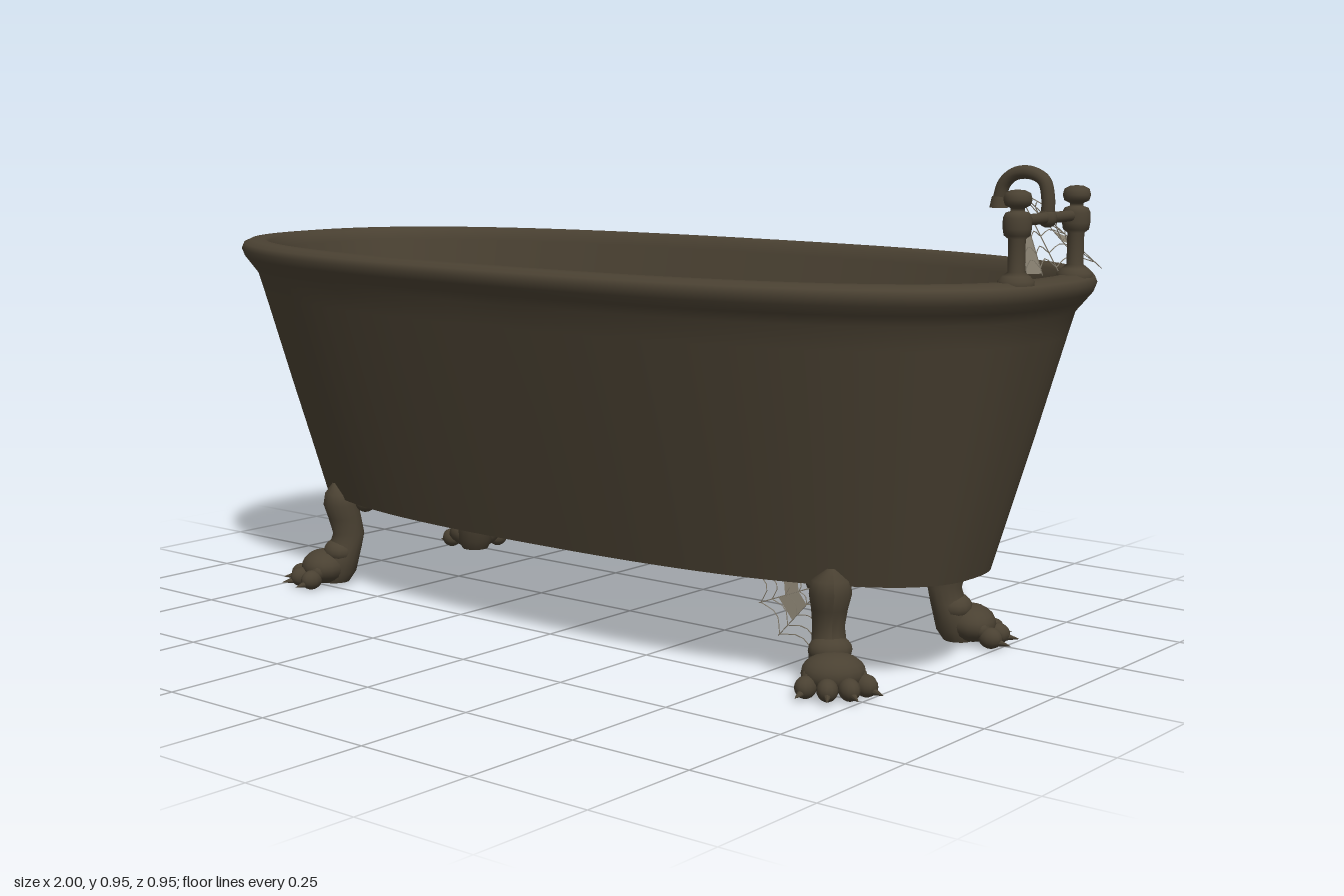
import * as THREE from 'three';

const V = (x, y, z) => new THREE.Vector3(x, y, z);
const enamel = new THREE.MeshStandardMaterial({ color: 0x4a4132 });
enamel.name = 'agedBronze';
const silk = new THREE.MeshStandardMaterial({ color: 0x8c8474, side: THREE.DoubleSide });
silk.name = 'dustyWeb';

function add(parent, name, geo, pos, mat = enamel) {
  const m = new THREE.Mesh(geo, mat);
  m.name = name;
  if (pos) m.position.copy(pos);
  parent.add(m);
  return m;
}
const tube = (pts, r, seg = 24, sides = 10) =>
  new THREE.TubeGeometry(new THREE.CatmullRomCurve3(pts), seg, r, sides);
const lathe = (pts, seg = 24) =>
  new THREE.LatheGeometry(pts.map(p => new THREE.Vector2(p[0], p[1])), seg);

// Rounded oval rings [y, half length, half width], skinned from base over the rim to the floor
function tubGeometry() {
  const rings = [
    [0.195, 0, 0], [0.195, 0.825, 0.3], [0.195, 0.825, 0.3], [0.44, 0.895, 0.373],
    [0.64, 0.95, 0.432], [0.685, 0.963, 0.445], [0.705, 0.98, 0.458], [0.722, 0.994, 0.469],
    [0.738, 1, 0.475], [0.75, 0.995, 0.47], [0.757, 0.98, 0.457], [0.757, 0.95, 0.427],
    [0.752, 0.94, 0.417], [0.73, 0.93, 0.408], [0.5, 0.875, 0.34], [0.36, 0.835, 0.295],
    [0.29, 0.795, 0.26], [0.25, 0.74, 0.22], [0.232, 0.65, 0.17], [0.225, 0.4, 0.1], [0.225, 0, 0],
  ];
  const N = 120, e = 2 / 2.5, pos = [], idx = [];
  const pw = v => Math.sign(v) * Math.abs(v) ** e;
  rings.forEach(([y, a, b], i) => {
    for (let j = 0; j < N; j++) {
      const t = (j / N) * Math.PI * 2;
      pos.push(a * pw(Math.cos(t)), y, b * pw(Math.sin(t)));
      if (i === rings.length - 1) continue;
      const k = (j + 1) % N, p = i * N, q = p + N;
      idx.push(p + j, q + j, q + k, p + j, q + k, p + k);
    }
  });
  const g = new THREE.BufferGeometry();
  g.setAttribute('position', new THREE.Float32BufferAttribute(pos, 3));
  g.setIndex(idx);
  g.computeVertexNormals();
  return g;
}

// Clawed leg pointing along local +z
function makeLeg() {
  const leg = new THREE.Group();
  // Shin: round sections [y, forward offset, half width, half depth]
  const secs = [
    [0.228, 0.035, 0.008, 0.006], [0.205, 0.026, 0.036, 0.032], [0.18, 0.024, 0.04, 0.038],
    [0.15, 0.016, 0.034, 0.036], [0.115, 0.008, 0.03, 0.034], [0.085, 0.016, 0.033, 0.036],
    [0.06, 0.028, 0.04, 0.042], [0.03, 0.035, 0.04, 0.042], [0.008, 0.038, 0.03, 0.03],
  ];
  const g = new THREE.CylinderGeometry(1, 1, 1, 16, secs.length - 1, true);
  const p = g.attributes.position;
  for (let i = 0; i < p.count; i++) {
    const [y, o, w, d] = secs[Math.floor(i / 17)];
    p.setXYZ(i, p.getX(i) * w, y, p.getZ(i) * d + o);
  }
  g.computeVertexNormals();
  add(leg, 'shin', g);
  add(leg, 'legScroll', new THREE.SphereGeometry(0.026, 14, 10), V(0, 0.188, -0.03)).scale.x = 1.4;
  add(leg, 'ankleKnob', new THREE.SphereGeometry(0.036, 14, 10), V(0, 0.075, 0.028)).scale.set(1.15, 0.8, 1);
  add(leg, 'paw', new THREE.SphereGeometry(0.05, 16, 12), V(0, 0.042, 0.062)).scale.set(1.2, 0.75, 1);
  // Toes and claws in a fan
  for (const [x, z, a] of [[-0.055, 0.088, -0.65], [-0.02, 0.112, -0.2], [0.02, 0.112, 0.2], [0.055, 0.088, 0.65]]) {
    const toe = new THREE.Group();
    toe.name = 'toe';
    toe.position.set(x, 0.023, z);
    toe.rotation.y = a;
    add(toe, 'toePad', new THREE.SphereGeometry(0.021, 12, 10)).scale.set(0.95, 1, 1.15);
    add(toe, 'toeKnuckle', new THREE.SphereGeometry(0.018, 12, 8), V(0, 0.014, -0.02));
    add(toe, 'claw', new THREE.ConeGeometry(0.01, 0.034, 8), V(0, -0.008, 0.026)).rotation.x = Math.PI / 2 + 0.15;
    leg.add(toe);
  }
  return leg;
}

// Cobweb: spokes from a hub, joined by sagging cross strands
function makeWeb(name, hub, ends, steps, patches) {
  const web = new THREE.Group();
  web.name = name;
  const at = (i, t) => hub.clone().lerp(ends[i], t);
  const strand = (a, b, sag) => {
    const mid = a.clone().lerp(b, 0.5).lerp(hub, sag);
    add(web, 'webStrand', tube([a, mid, b], 0.0011, 5, 3), null, silk);
  };
  ends.forEach((end, i) => {
    strand(hub, end, 0);
    if (i) for (const t of steps) strand(at(i - 1, t), at(i, t), 0.12);
  });
  // Matted silk between neighbouring spokes
  for (const [i, t0, t1] of patches) {
    const g = new THREE.BufferGeometry().setFromPoints([at(i, t0), at(i + 1, t0), at(i + 1, t1), at(i, t1)]);
    g.setIndex([0, 1, 2, 0, 2, 3]);
    g.computeVertexNormals();
    add(web, 'webPatch', g, null, silk);
  }
  return web;
}

export function createModel() {
  const model = new THREE.Group();
  model.name = 'clawfootBathtub';
  add(model, 'tub', tubGeometry());

  // Four legs turned out to the corners
  for (const sx of [1, -1]) for (const sz of [1, -1]) {
    const leg = makeLeg();
    leg.name = (sz > 0 ? 'front' : 'back') + (sx > 0 ? 'Left' : 'Right') + 'Leg';
    leg.position.set(sx * 0.635, 0, sz * 0.195);
    leg.rotation.y = Math.atan2(sx, sz);
    model.add(leg);
  }

  // Taps, crossbar and gooseneck spout
  const taps = new THREE.Group();
  taps.name = 'taps';
  model.add(taps);
  const post = [[0.032, 0.752], [0.032, 0.76], [0.024, 0.768], [0.015, 0.775], [0.015, 0.832],
    [0.023, 0.838], [0.025, 0.85], [0.025, 0.868], [0.021, 0.877], [0.012, 0.88], [0.012, 0.885],
    [0.022, 0.89], [0.025, 0.9], [0.022, 0.911], [0.012, 0.916], [0, 0.917]];
  for (const s of [1, -1]) add(taps, 'tapPost', lathe(post), V(0.957, 0, s * 0.105));
  add(taps, 'crossbar', new THREE.CylinderGeometry(0.01, 0.01, 0.2, 14), V(0.957, 0.863, 0)).rotation.x = Math.PI / 2;
  add(taps, 'spoutJoint', new THREE.SphereGeometry(0.017, 14, 10), V(0.957, 0.863, 0));
  add(taps, 'spout', tube([V(0.957, 0.86, 0), V(0.957, 0.9, 0), V(0.948, 0.929, 0), V(0.92, 0.942, 0),
    V(0.888, 0.938, 0), V(0.868, 0.92, 0), V(0.86, 0.895, 0)], 0.012, 32, 12));
  add(taps, 'spoutTip', new THREE.CylinderGeometry(0.013, 0.017, 0.02, 14), V(0.859, 0.888, 0));

  // Drain, overflow, plug and chain
  add(model, 'drainRing', new THREE.TorusGeometry(0.032, 0.005, 8, 28), V(0.515, 0.23, 0)).rotation.x = Math.PI / 2;
  add(model, 'drainCup', new THREE.CylinderGeometry(0.014, 0.014, 0.012, 18), V(0.515, 0.229, 0));
  add(model, 'overflow', new THREE.CylinderGeometry(0.032, 0.036, 0.014, 24), V(0.893, 0.61, 0)).rotation.z = Math.PI / 2 - 0.2;
  add(model, 'plug', lathe([[0.028, 0], [0.028, 0.018], [0.022, 0.024], [0.008, 0.026], [0.006, 0.036], [0, 0.038]]), V(0.37, 0.224, 0.09));
  add(model, 'plugChain', tube([V(0.37, 0.26, 0.09), V(0.41, 0.238, 0.1), V(0.5, 0.236, 0.085), V(0.62, 0.241, 0.06),
    V(0.72, 0.256, 0.04), V(0.785, 0.31, 0.028), V(0.84, 0.43, 0.015), V(0.882, 0.6, 0)], 0.004, 60, 6));

  // Cobwebs at the spout and beside a leg
  model.add(makeWeb('spoutWeb', V(0.89, 0.91, -0.01),
    [V(0.91, 0.757, -0.015), V(0.925, 0.757, -0.045), V(0.935, 0.757, -0.09), V(0.94, 0.758, -0.24),
      V(0.95, 0.785, -0.125), V(0.955, 0.85, -0.1)], [0.35, 0.55, 0.75, 0.92], [[0, 0.35, 0.98], [3, 0.6, 0.75]]));
  model.add(makeWeb('legWeb', V(0.64, 0.195, 0.21),
    [V(0.49, 0.195, 0.22), V(0.5, 0.14, 0.225), V(0.545, 0.085, 0.225), V(0.625, 0.06, 0.22)],
    [0.4, 0.6, 0.8, 0.97], [[0, 0.4, 0.6], [1, 0.4, 0.7]]));
  return model;
}
